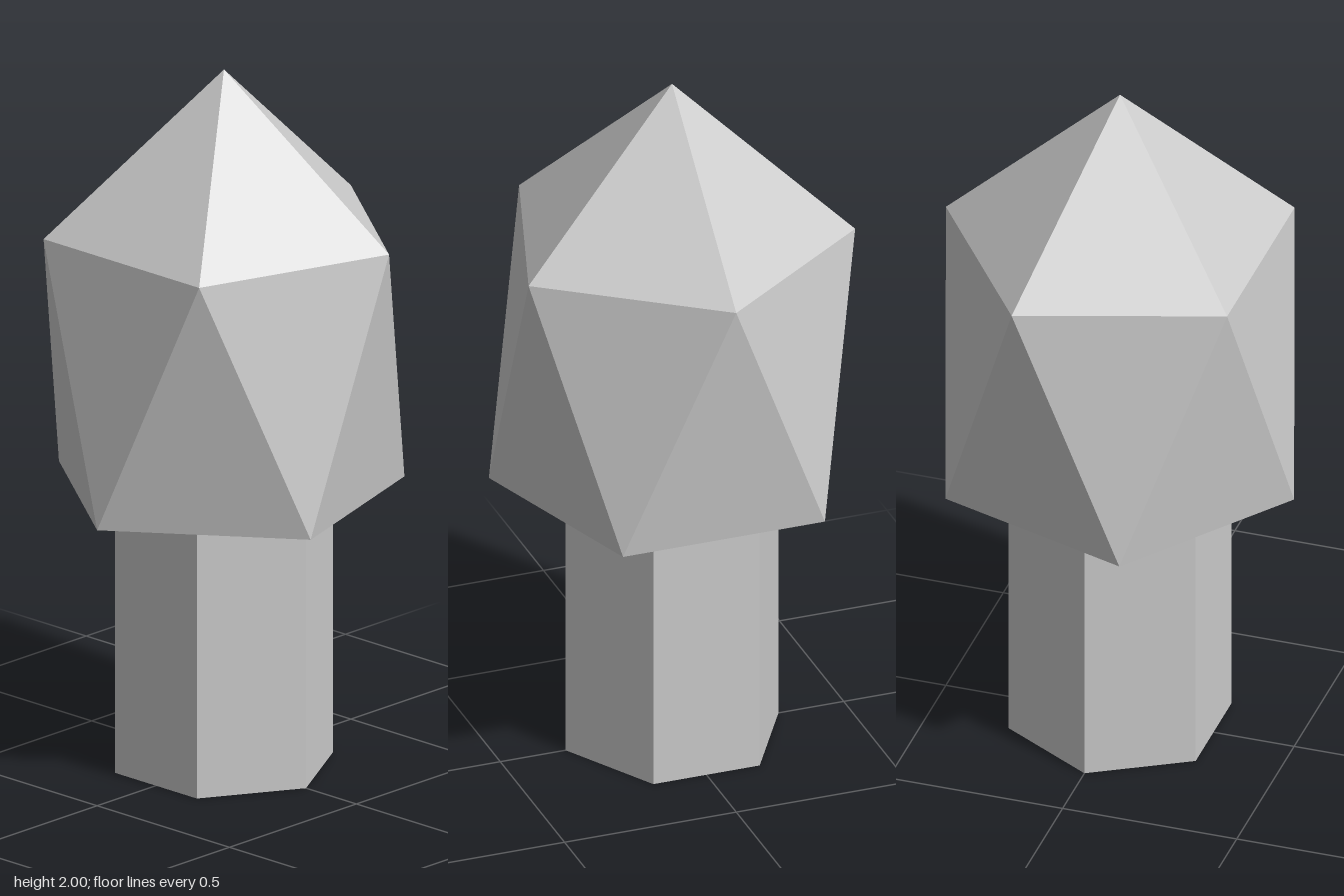
import * as THREE from 'three';

const material = new THREE.MeshStandardMaterial({ color: 0xcccccc, flatShading: true });

// Five-sided ring; turn is measured in steps of a fifth of a circle
function ring(radius, y, turn) {
  return Array.from({ length: 5 }, (_, i) => {
    const a = ((i + turn) / 5) * Math.PI * 2;
    return new THREE.Vector3(Math.cos(a) * radius, y, Math.sin(a) * radius);
  });
}

// Icosahedron-like crown: pointed cap, band of triangles, flat underside
function crownGeometry() {
  const apex = new THREE.Vector3(0, 2, 0);
  const base = new THREE.Vector3(0, 0.795, 0);
  const upper = ring(0.5, 1.541, 0);
  const lower = ring(0.5, 0.795, 0.5);
  const points = [];
  for (let i = 0; i < 5; i++) {
    const j = (i + 1) % 5;
    points.push(apex, upper[j], upper[i]);
    points.push(upper[i], upper[j], lower[i]);
    points.push(lower[i], upper[j], lower[j]);
    points.push(lower[i], lower[j], base);
  }
  const geometry = new THREE.BufferGeometry().setFromPoints(points);
  geometry.computeVertexNormals();
  return geometry;
}

export function createModel() {
  const model = new THREE.Group();
  model.name = 'tree';

  // Hexagonal trunk with corners towards front and back
  const trunk = new THREE.Mesh(new THREE.CylinderGeometry(0.31, 0.31, 0.795, 6), material);
  trunk.name = 'trunk';
  trunk.position.y = 0.795 / 2;

  const crown = new THREE.Mesh(crownGeometry(), material);
  crown.name = 'crown';

  model.add(trunk, crown);
  return model;
}
